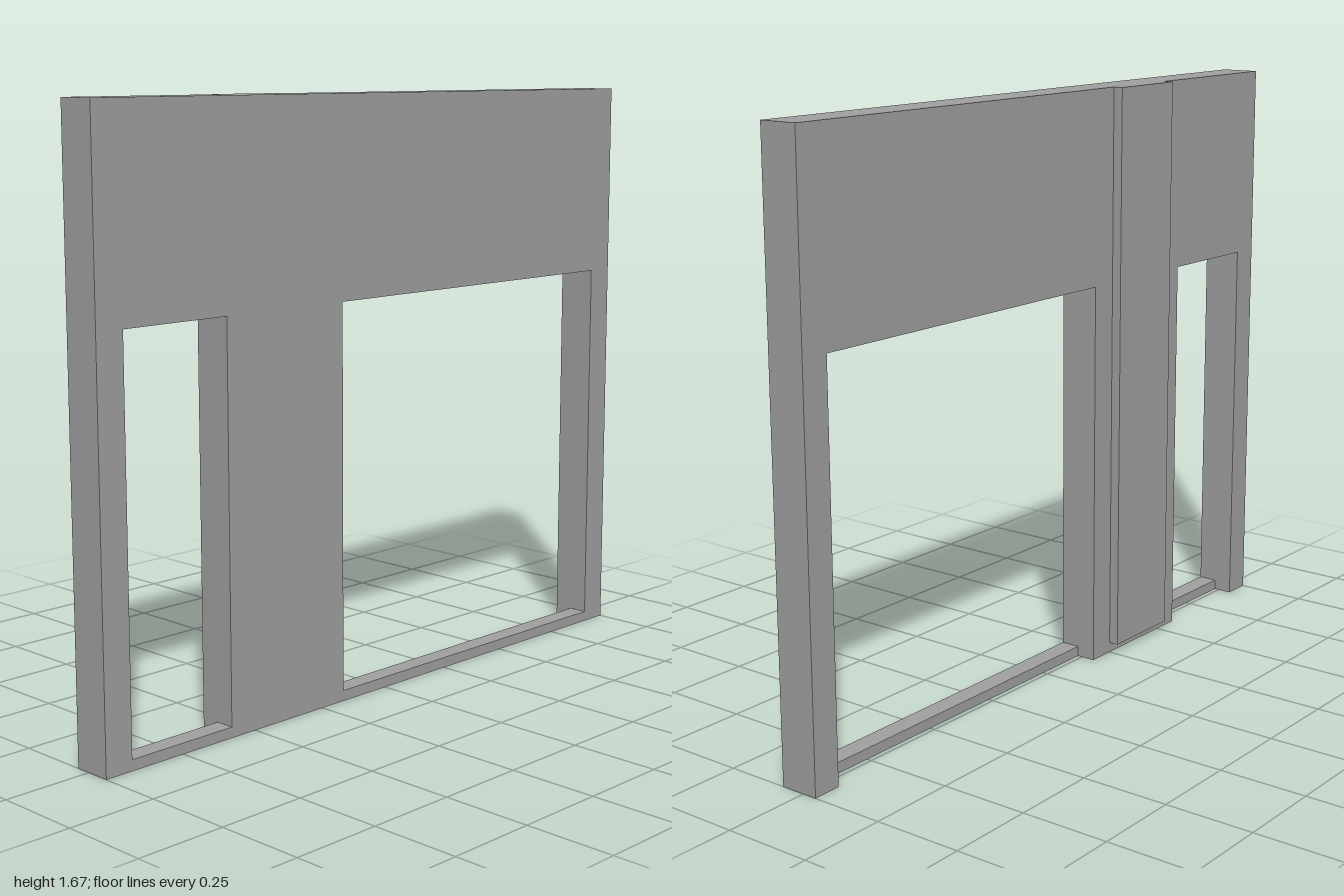
import * as THREE from 'three';

const HEIGHT = 1.667, FRONT = 0.07, BACK = -0.042, SILL_BACK = 0.014;
const SILL_TOP = 0.03, LINTEL = 1.115;
const OPENINGS = [[-0.917, -0.583], [-0.168, 0.917]];

export function createModel() {
  const model = new THREE.Group();
  model.name = 'wallPanel';
  const grey = new THREE.MeshStandardMaterial({ color: 0xa0a0a0 });
  grey.name = 'plaster grey';

  const add = (name, geometry) => {
    const mesh = new THREE.Mesh(geometry, grey);
    mesh.name = name;
    model.add(mesh);
  };
  const block = (name, x0, x1, y0, y1, z0, z1) =>
    add(name, new THREE.BoxGeometry(x1 - x0, y1 - y0, z1 - z0)
      .translate((x0 + x1) / 2, (y0 + y1) / 2, (z0 + z1) / 2));

  // Wall outline, notched up from the floor at each opening
  const outline = new THREE.Shape();
  outline.moveTo(-1, 0);
  for (const [a, b] of OPENINGS) {
    outline.lineTo(a, 0);
    outline.lineTo(a, LINTEL);
    outline.lineTo(b, LINTEL);
    outline.lineTo(b, 0);
  }
  outline.lineTo(1, 0);
  outline.lineTo(1, HEIGHT);
  outline.lineTo(-1, HEIGHT);
  outline.closePath();
  add('wall', new THREE.ExtrudeGeometry(outline, { depth: FRONT - BACK, bevelEnabled: false })
    .translate(0, 0, BACK));

  // Low sills, flush with the front and half the depth of the wall
  OPENINGS.forEach(([a, b], i) =>
    block(i ? 'wideSill' : 'narrowSill', a, b, 0, SILL_TOP, SILL_BACK, FRONT));

  // Shallow pilaster on the back, raised off the floor
  block('backPilaster', -0.5, -0.25, SILL_TOP, HEIGHT, -0.07, BACK);

  return model;
}
